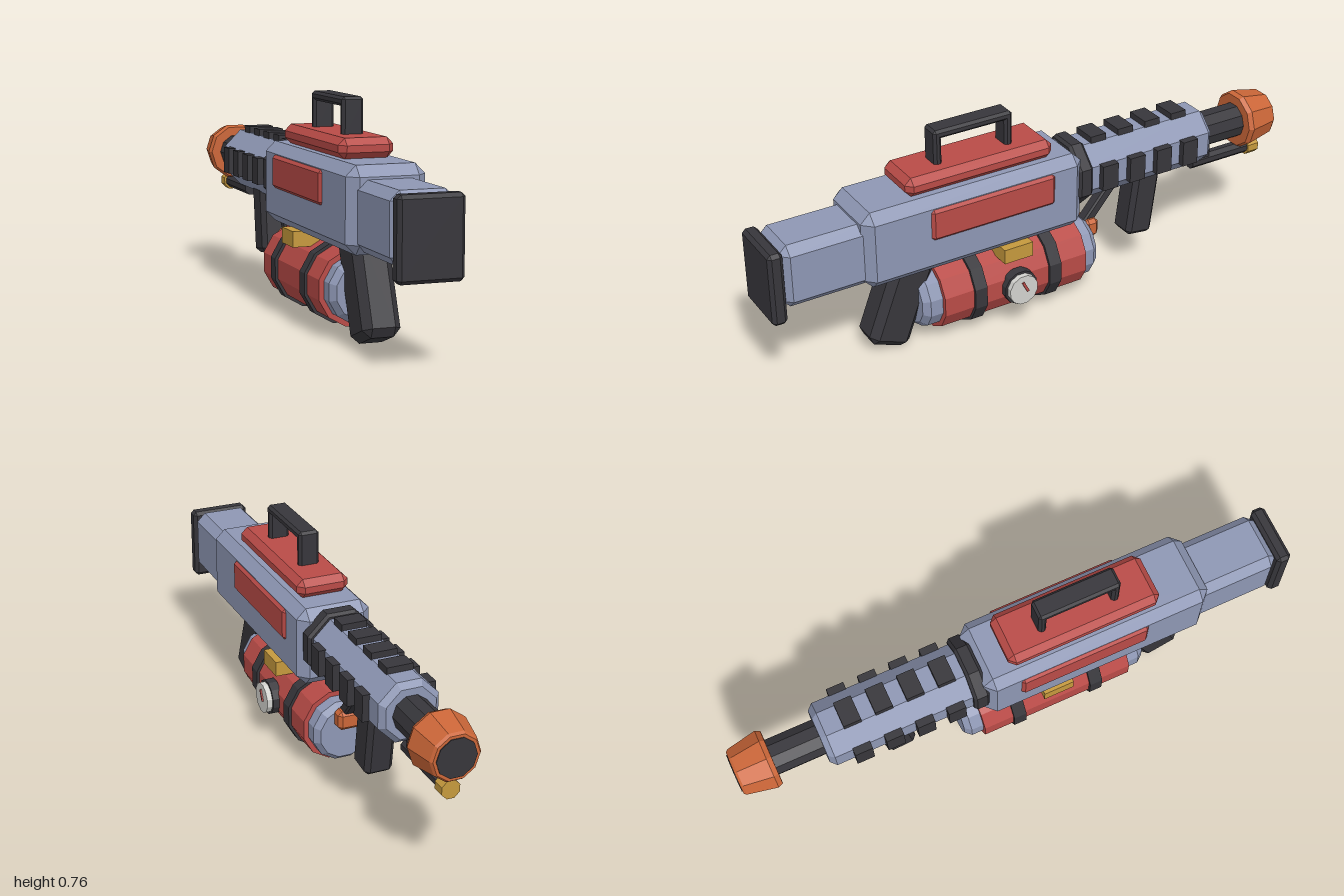
import * as THREE from 'three';
import { ConvexGeometry } from 'three/addons/geometries/ConvexGeometry.js';

const mat = (name, color) => {
  const m = new THREE.MeshStandardMaterial({ color });
  m.name = name;
  return m;
};

// Box with every edge bevelled by c
function bevelBox(w, h, d, c) {
  const pts = [];
  for (const sx of [-1, 1]) for (const sy of [-1, 1]) for (const sz of [-1, 1]) {
    const x = w / 2, y = h / 2, z = d / 2;
    pts.push(
      new THREE.Vector3(sx * x, sy * (y - c), sz * (z - c)),
      new THREE.Vector3(sx * (x - c), sy * y, sz * (z - c)),
      new THREE.Vector3(sx * (x - c), sy * (y - c), sz * z)
    );
  }
  return new ConvexGeometry(pts);
}

// Faceted solid along z from [radius, z] pairs in rising z, closed at both ends
function turned(sides, profile) {
  const pts = [[0, profile[0][1]], ...profile, [0, profile[profile.length - 1][1]]]
    .map(([r, z]) => new THREE.Vector2(r, z));
  const g = new THREE.LatheGeometry(pts, sides, Math.PI / sides)
    .rotateX(Math.PI / 2).toNonIndexed();
  g.computeVertexNormals();
  return g;
}

export function createModel() {
  const steel = mat('steel blue', 0x8e97b4);
  const dark = mat('dark rubber', 0x37363b);
  const red = mat('red', 0xb94b47);
  const orange = mat('orange', 0xcb6638);
  const gold = mat('gold', 0xc5993d);
  const white = mat('dial white', 0xd2d2ce);

  const model = new THREE.Group();
  const gun = new THREE.Group();
  gun.name = 'launcher';
  gun.position.x = -0.017;
  model.add(gun);

  const add = (name, geo, material, x = 0, y = 0, z = 0, tilt = 0) => {
    const m = new THREE.Mesh(geo, material);
    m.name = name;
    m.position.set(x, y, z);
    m.rotation.x = tilt;
    gun.add(m);
    return m;
  };
  // Bevelled box given by its y and z limits
  const block = (name, material, w, y0, y1, z0, z1, c, x = 0) =>
    add(name, bevelBox(w, y1 - y0, z1 - z0, c), material, x, (y0 + y1) / 2, (z0 + z1) / 2);

  // Receiver, stock and butt
  block('body', steel, 0.262, 0.311, 0.587, -0.145, 0.68, 0.034);
  block('stock', steel, 0.205, 0.32, 0.545, 0.6, 0.955, 0.03);
  block('buttPlate', dark, 0.213, 0.28, 0.54, 0.948, 1.0, 0.012);

  // Red covers
  block('topCover', red, 0.185, 0.585, 0.652, -0.045, 0.505, 0.022);
  for (const s of [-1, 1]) block('sidePanel', red, 0.03, 0.438, 0.55, -0.022, 0.445, 0.01, s * 0.126);

  // Carry handle
  block('handleBar', dark, 0.073, 0.74, 0.771, 0.083, 0.376, 0.009);
  block('handleFrontPost', dark, 0.073, 0.64, 0.76, 0.083, 0.112, 0.009);
  block('handleRearPost', dark, 0.073, 0.64, 0.76, 0.347, 0.376, 0.009);

  // Octagonal shroud with collar and ribs
  const axis = 0.468;
  const oct = 1 / Math.cos(Math.PI / 8);
  add('collar', turned(8, [[0.11 * oct, -0.187], [0.119 * oct, -0.177], [0.119 * oct, -0.14], [0.11 * oct, -0.13]]), dark, 0, axis);
  add('shroud', turned(8, [[0.085 * oct, -0.7], [0.103 * oct, -0.68], [0.103 * oct, -0.13]]), steel, 0, axis);
  for (let i = 0; i < 4; i++) {
    const z = -0.252 - i * 0.1115;
    add('topRib', new THREE.BoxGeometry(0.09, 0.04, 0.062), dark, 0, 0.573, z);
    for (const s of [-1, 1])
      add('sideRib', new THREE.BoxGeometry(0.04, 0.093, 0.062), dark, s * 0.106, axis, z);
  }

  // Barrel and muzzle
  add('barrel', turned(10, [[0.064, -0.9], [0.064, -0.68]]), dark, 0, axis);
  add('muzzle', turned(10, [[0.078, -0.997], [0.085, -0.988], [0.106, -0.885], [0.098, -0.868]]), orange, 0, axis);
  add('muzzleBore', turned(10, [[0.068, -1.0], [0.068, -0.994]]), dark, 0, axis);

  // Pilot tube under the barrel
  add('pilotTube', turned(8, [[0.025, -0.935], [0.025, -0.68]]), dark, 0, 0.346);
  block('pilotStrut', dark, 0.04, 0.345, 0.43, -0.757, -0.71, 0.004);
  add('pilotTip', turned(8, [[0.033, -0.97], [0.033, -0.925]]), gold, 0, 0.346);

  // Grips
  add('rearGrip', bevelBox(0.128, 0.36, 0.157, 0.026), dark, 0, 0.194, 0.514, -0.367);
  add('foreGrip', bevelBox(0.1, 0.26, 0.107, 0.016), dark, 0, 0.272, -0.452, -0.13);

  // Tank with end caps and straps
  const ty = 0.16;
  const dod = 1 / Math.cos(Math.PI / 12);
  add('tank', turned(12, [[0.125 * dod, -0.157], [0.125 * dod, 0.4]]), red, 0, ty);
  add('tankCaps', turned(12, [[0.09 * dod, -0.222], [0.108 * dod, -0.2], [0.108 * dod, 0.445], [0.09 * dod, 0.468]]), steel, 0, ty);
  for (const z of [-0.026, 0.267])
    add('strap', turned(12, [[0.135 * dod, z - 0.023], [0.135 * dod, z + 0.023]]), dark, 0, ty);
  add('tankBracket', new THREE.BoxGeometry(0.268, 0.053, 0.11), gold, 0, 0.289, 0.12);

  // Valves and feed hose
  block('frontValve', orange, 0.085, 0.19, 0.258, -0.266, -0.212, 0.013);
  add('feedHose', bevelBox(0.045, 0.2, 0.038, 0.006), dark, 0, 0.305, -0.282, -0.7);
  add('rearValve', bevelBox(0.036, 0.09, 0.03, 0.006), orange, 0, 0.288, 0.365, 0.3);

  // Pressure gauge on the tank's left side
  const dial = (name, r, x0, x1, material) =>
    add(name, turned(12, [[r, x0], [r, x1]]).rotateY(Math.PI / 2), material, 0, ty, 0.12);
  dial('gaugeCase', 0.063, 0.115, 0.148, dark);
  dial('gaugeDial', 0.055, 0.14, 0.167, white);
  add('gaugeNeedle', new THREE.BoxGeometry(0.008, 0.043, 0.009), red, 0.168, 0.172, 0.115, 0.48);

  return model;
}
